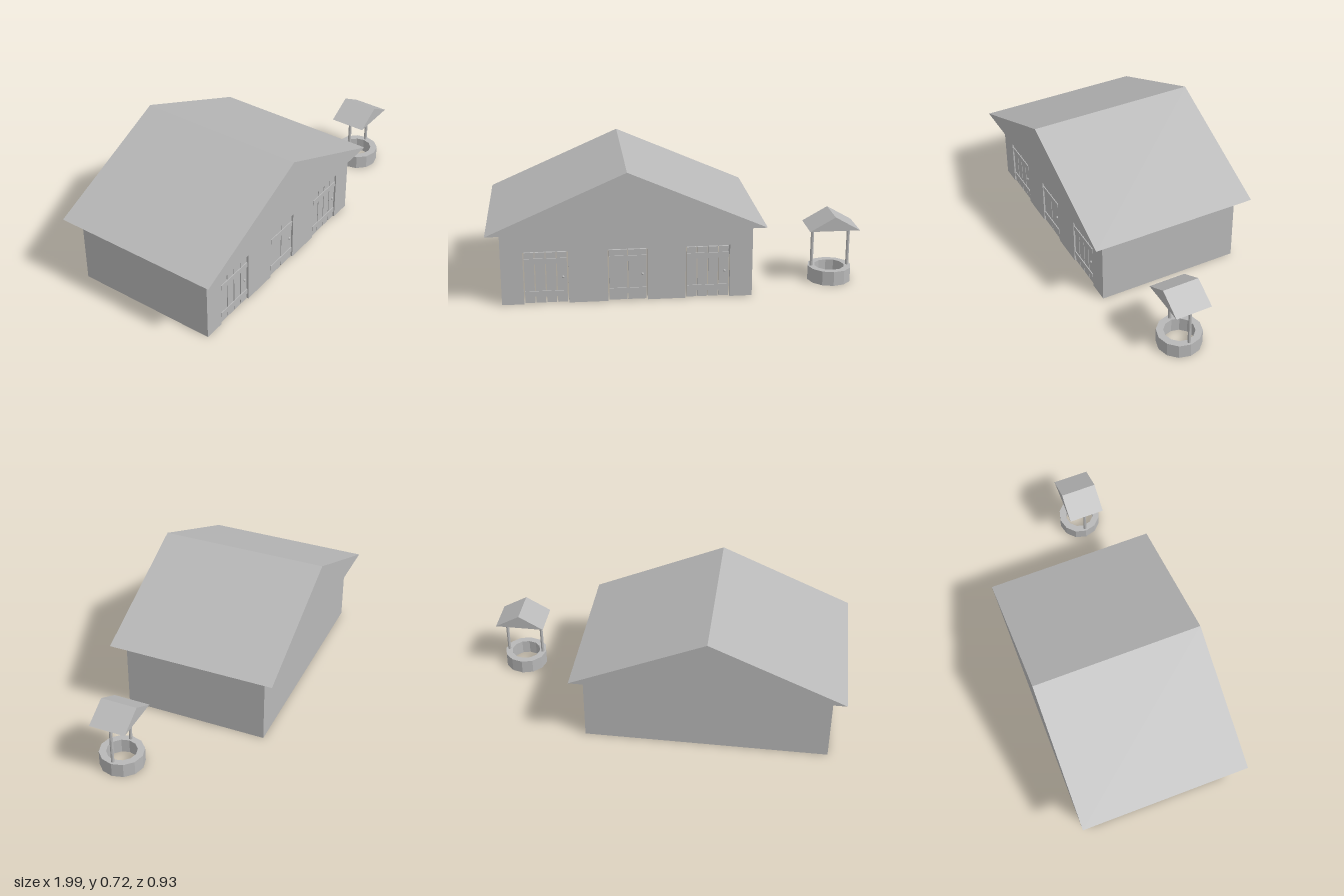
import * as THREE from 'three';

const grey = new THREE.MeshStandardMaterial({ color: 0xb8b8b8 });
grey.name = 'plain grey';

const HOUSE_X = -0.27, WALL_H = 0.4, T = 0.02;

function add(parent, name, geometry, x = 0, y = 0, z = 0) {
  const mesh = new THREE.Mesh(geometry, grey);
  mesh.name = name;
  mesh.position.set(x, y, z);
  parent.add(mesh);
  return mesh;
}

const box = (w, h, d) => new THREE.BoxGeometry(w, h, d);
// faceted look for the low-poly round parts
const faceted = (g) => {
  const flat = g.toNonIndexed();
  flat.computeVertexNormals();
  return flat;
};

function extrude(points, depth) {
  const shape = new THREE.Shape(points.map(([x, y]) => new THREE.Vector2(x, y)));
  return new THREE.ExtrudeGeometry(shape, { depth, bevelEnabled: false });
}

// gable roof: a solid triangular prism centred on z
function gable(width, height, depth) {
  return extrude([[-width / 2, 0], [width / 2, 0], [0, height]], depth).translate(0, 0, -depth / 2);
}

// plank door with two battens and a knob
function makeDoor(x0, x1, planks) {
  const door = new THREE.Group();
  door.name = 'door';
  const margin = 0.007, gap = 0.006, top = 0.282, bottom = 0.004;
  const width = x1 - x0 - 2 * margin;
  const w = (width - gap * (planks - 1)) / planks;
  for (let i = 0; i < planks; i++) {
    add(door, 'plank', box(w, top - bottom, 0.012),
      x0 + margin + w / 2 + i * (w + gap), (top + bottom) / 2, 0.388);
  }
  for (const y of [0.055, 0.235]) {
    add(door, 'batten', box(width, 0.03, 0.005), (x0 + x1) / 2, y, 0.3965);
  }
  add(door, 'knob', new THREE.SphereGeometry(0.007, 10, 8), x1 - 0.028, 0.145, 0.396);
  return door;
}

function makeHouse() {
  const house = new THREE.Group();
  house.name = 'house';
  const left = -0.93, right = 0.39, d = 0.4;
  const doors = [[-0.815, -0.58, 4], [-0.375, -0.165, 2], [0.035, 0.27, 4]];

  // front wall with door notches cut from the bottom edge
  const outline = [[left, 0]];
  for (const [a, b] of doors) outline.push([a, 0], [a, 0.29], [b, 0.29], [b, 0]);
  outline.push([right, 0], [right, WALL_H], [left, WALL_H]);
  add(house, 'frontWall', extrude(outline, T), 0, 0, d - T);
  for (const [a, b, n] of doors) house.add(makeDoor(a, b, n));

  // remaining walls
  add(house, 'backWall', box(right - left, WALL_H, T), HOUSE_X, WALL_H / 2, -d + T / 2);
  for (const x of [left + T / 2, right - T / 2]) {
    add(house, 'sideWall', box(T, WALL_H, 2 * d - 2 * T), x, WALL_H / 2, 0);
  }
  add(house, 'roof', gable(1.455, 0.318, 0.93), -0.2725, WALL_H, 0);

  // pendant lamps under the ceiling
  const shade = new THREE.LatheGeometry(
    [[0.044, 0], [0.034, 0.018], [0.01, 0.032], [0, 0.034], [0, 0.03], [0.009, 0.028], [0.031, 0.016], [0.041, 0]]
      .map(([r, y]) => new THREE.Vector2(r, y)).reverse(), 16);
  for (const x of [-0.67, HOUSE_X, 0.13]) {
    const lamp = new THREE.Group();
    lamp.name = 'lamp';
    add(lamp, 'shade', shade, 0, 0.26, 0);
    add(lamp, 'bulb', new THREE.SphereGeometry(0.013, 12, 8), 0, 0.272, 0);
    add(lamp, 'cord', new THREE.CylinderGeometry(0.004, 0.004, 0.11, 8), 0, 0.345, 0);
    lamp.position.x = x;
    house.add(lamp);
  }
  return house;
}

function makeWell() {
  const well = new THREE.Group();
  well.name = 'well';
  // open twelve-sided stone ring
  const profile = [[0.082, 0], [0.12, 0], [0.12, 0.08], [0.082, 0.08], [0.082, 0]]
    .map(([r, y]) => new THREE.Vector2(r, y));
  add(well, 'ring', faceted(new THREE.LatheGeometry(profile, 12)));
  for (const x of [-0.1, 0.1]) {
    add(well, 'post', faceted(new THREE.CylinderGeometry(0.009, 0.009, 0.232, 8)), x, 0.195, 0);
  }
  add(well, 'wellRoof', gable(0.274, 0.078, 0.2), 0, 0.309, 0);
  well.position.set(0.857, 0, 0.2);
  return well;
}

export function createModel() {
  const model = new THREE.Group();
  model.name = 'stableWithWell';
  model.add(makeHouse(), makeWell());
  return model;
}
